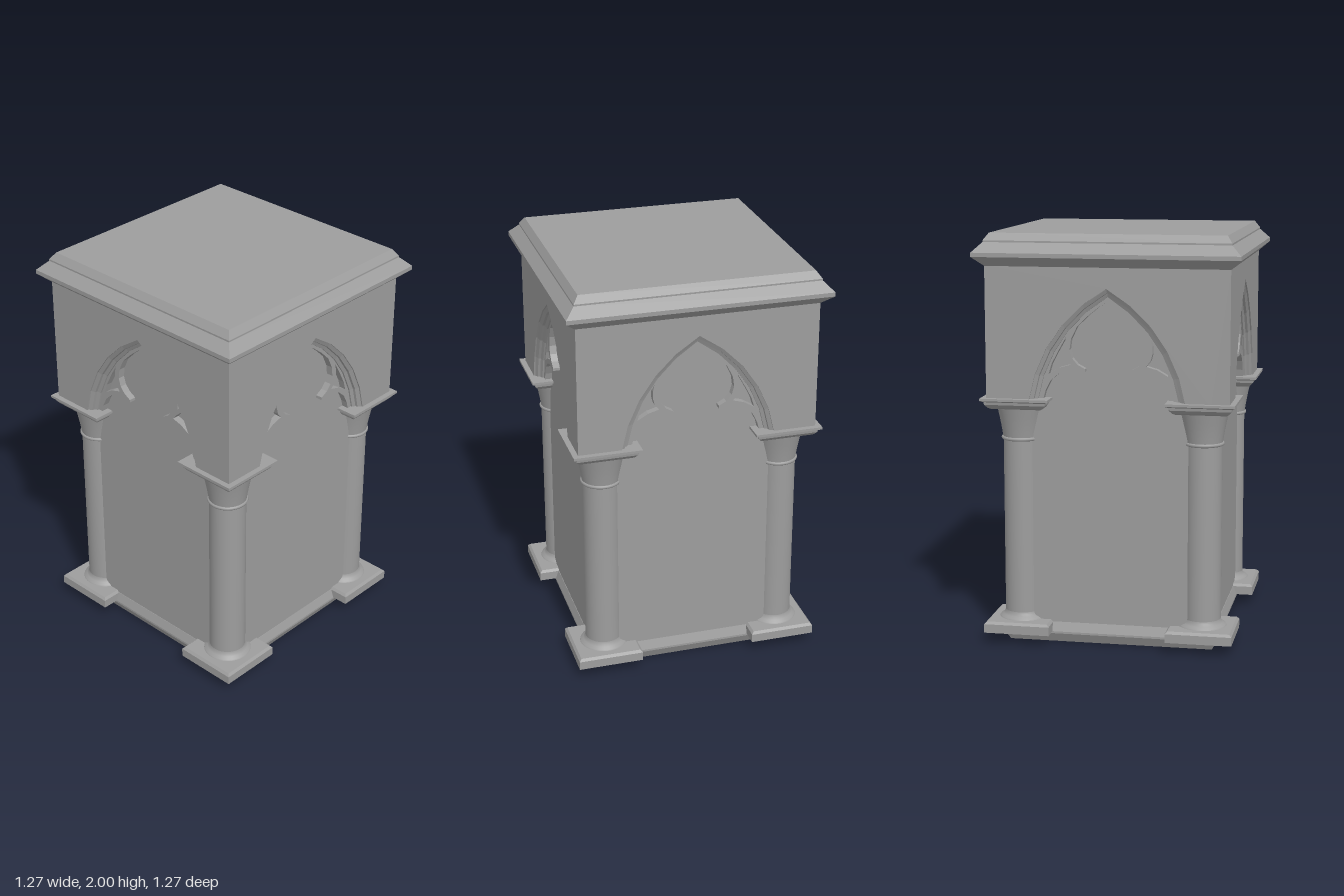
import * as THREE from 'three';

const FACE = 0.585;   // outer face of the upper block
const PANEL = 0.505;  // face of the recessed panels
const SPRING = 1.2;   // height where the arches start
const COL = 0.446;    // column centre offset

const smooth = new THREE.MeshStandardMaterial({ color: 0x9d9d9d, side: THREE.DoubleSide });
const flat = new THREE.MeshStandardMaterial({ color: 0x9d9d9d, flatShading: true, side: THREE.DoubleSide });

function mesh(name, geometry, material = flat) {
  const m = new THREE.Mesh(geometry, material);
  m.name = name;
  return m;
}

const vecs = (pts) => pts.map(([a, b]) => new THREE.Vector2(a, b));

// Square solid from a [half width, height] profile
function squareTurned(profile) {
  const pts = vecs(profile.map(([r, y]) => [r * Math.SQRT2, y]));
  const g = new THREE.LatheGeometry(pts, 4).rotateY(Math.PI / 4).toNonIndexed();
  g.computeVertexNormals();
  return g;
}

// Pointed arch, left foot to right foot, inset by d
function archPoints(d = 0, n = 5) {
  const cx = 0.362, cy = 1.092, r = 0.748 - d;
  const a0 = Math.asin((SPRING - cy) / r), a1 = Math.acos(cx / r);
  const right = [];
  for (let i = 0; i <= n; i++) {
    const a = a0 + ((a1 - a0) * i) / n;
    right.push([r * Math.cos(a) - cx, cy + r * Math.sin(a)]);
  }
  right[n][0] = 0;
  const left = right.slice(0, n).map(([x, y]) => [-x, y]);
  return [...left, ...right.reverse()];
}

function extrude(shape, zFront, depth) {
  return new THREE.ExtrudeGeometry(shape, { depth, bevelEnabled: false }).translate(0, 0, zFront - depth);
}

// Stepped arch moulding: [inset, z] rows swept along the arch
function mouldingGeometry() {
  const rows = [[0, 0.578], [0.018, 0.568], [0.02, 0.556], [0.036, 0.548], [0.038, 0.5]];
  const pos = [], idx = [];
  rows.forEach(([d, z]) => archPoints(d).forEach(([x, y]) => pos.push(x, y, z)));
  const n = archPoints().length;
  for (let r = 0; r < rows.length - 1; r++) {
    for (let i = 0; i < n - 1; i++) {
      const a = r * n + i, b = a + n;
      idx.push(a, a + 1, b, b, a + 1, b + 1);
    }
  }
  const g = new THREE.BufferGeometry();
  g.setAttribute('position', new THREE.Float32BufferAttribute(pos, 3));
  g.setIndex(idx);
  g.computeVertexNormals();
  return g;
}

// Cusped tracery plate with one pierced eyelet on each side
function traceryGeometry() {
  const lobe = [
    [0.318, 1.2], [0.305, 1.25], [0.28, 1.3], [0.24, 1.335], [0.19, 1.35], [0.15, 1.345],
    [0.112, 1.346], [0.112, 1.36], [0.148, 1.38], [0.174, 1.41], [0.186, 1.45], [0.179, 1.5],
    [0.15, 1.56], [0.1, 1.61], [0.045, 1.655], [0, 1.682],
  ];
  const mirrored = lobe.slice(0, -1).reverse().map(([x, y]) => [-x, y]);
  const shape = new THREE.Shape(vecs([...archPoints(0.03), ...lobe, ...mirrored]));
  const eyelet = [
    [0.288, 1.333], [0.274, 1.38], [0.24, 1.445], [0.203, 1.51],
    [0.211, 1.475], [0.212, 1.44], [0.203, 1.405], [0.182, 1.379], [0.235, 1.364],
  ];
  for (const s of [-1, 1]) {
    shape.holes.push(new THREE.Path(vecs(eyelet.map(([x, y]) => [s * x, y]))));
  }
  return extrude(shape, 0.54, 0.04);
}

function makeColumn() {
  const column = new THREE.Group();
  column.name = 'column';
  column.add(
    mesh('plinth', squareTurned([[0, 0.055], [0.161, 0.055], [0.161, 0.098], [0.15, 0.11], [0, 0.11]])),
    mesh('columnBase', new THREE.LatheGeometry(
      vecs([[0.118, 0.108], [0.114, 0.116], [0.1, 0.124], [0.092, 0.134], [0.089, 0.145]]), 32), smooth),
    mesh('shaft', new THREE.CylinderGeometry(0.089, 0.089, 0.9, 32, 1, true).translate(0, 0.56, 0), smooth),
    mesh('neckRing', new THREE.TorusGeometry(0.09, 0.009, 8, 32).rotateX(Math.PI / 2).translate(0, 1.007, 0), smooth),
    mesh('capitalBell', new THREE.LatheGeometry(
      vecs([[0.09, 1.005], [0.095, 1.04], [0.102, 1.08], [0.11, 1.12], [0.12, 1.165]]), 32), smooth),
    mesh('abacus', squareTurned([
      [0, 1.16], [0.122, 1.16], [0.134, 1.167], [0.148, 1.183], [0.15, 1.196], [0.166, 1.203], [0.166, 1.215], [0, 1.215],
    ])),
  );
  return column;
}

export function createModel() {
  const model = new THREE.Group();
  model.name = 'archedPedestal';

  // Floor slab and top cornice
  model.add(
    mesh('floorSlab', squareTurned([[0, 0], [0.5, 0], [0.523, 0.045], [0.523, 0.055], [0.507, 0.1], [0, 0.1]])),
    mesh('cornice', squareTurned([
      [0, 1.845], [FACE, 1.845], [0.637, 1.89], [0.637, 1.91], [0.59, 1.957], [0.59, 1.965], [0.565, 2], [0, 2],
    ])),
  );

  // Two crossed solids form the four recessed panels, ending inside the columns
  const panel = new THREE.Shape(vecs([
    [-0.385, 0.08], [-0.385, SPRING], ...archPoints(), [0.385, SPRING], [0.385, 0.08],
  ]));
  for (const turn of [0, 1]) {
    const p = mesh('archedPanel', extrude(panel, PANEL, PANEL * 2));
    p.rotation.y = (turn * Math.PI) / 2;
    model.add(p);
  }

  // Each side: wall with arched opening, moulding, tracery and a corner column
  const thick = 0.09, end = FACE - thick;
  const wall = extrude(new THREE.Shape(vecs([
    [-FACE, SPRING], ...archPoints(), [end, SPRING], [end, 1.85], [-FACE, 1.85],
  ])), FACE, thick);
  const moulding = mouldingGeometry();
  const tracery = traceryGeometry();
  for (let i = 0; i < 4; i++) {
    const side = new THREE.Group();
    side.name = 'side';
    side.add(mesh('upperWall', wall), mesh('archMoulding', moulding), mesh('tracery', tracery));
    const column = makeColumn();
    column.position.set(COL, 0, COL);
    side.add(column);
    side.rotation.y = (i * Math.PI) / 2;
    model.add(side);
  }
  return model;
}
